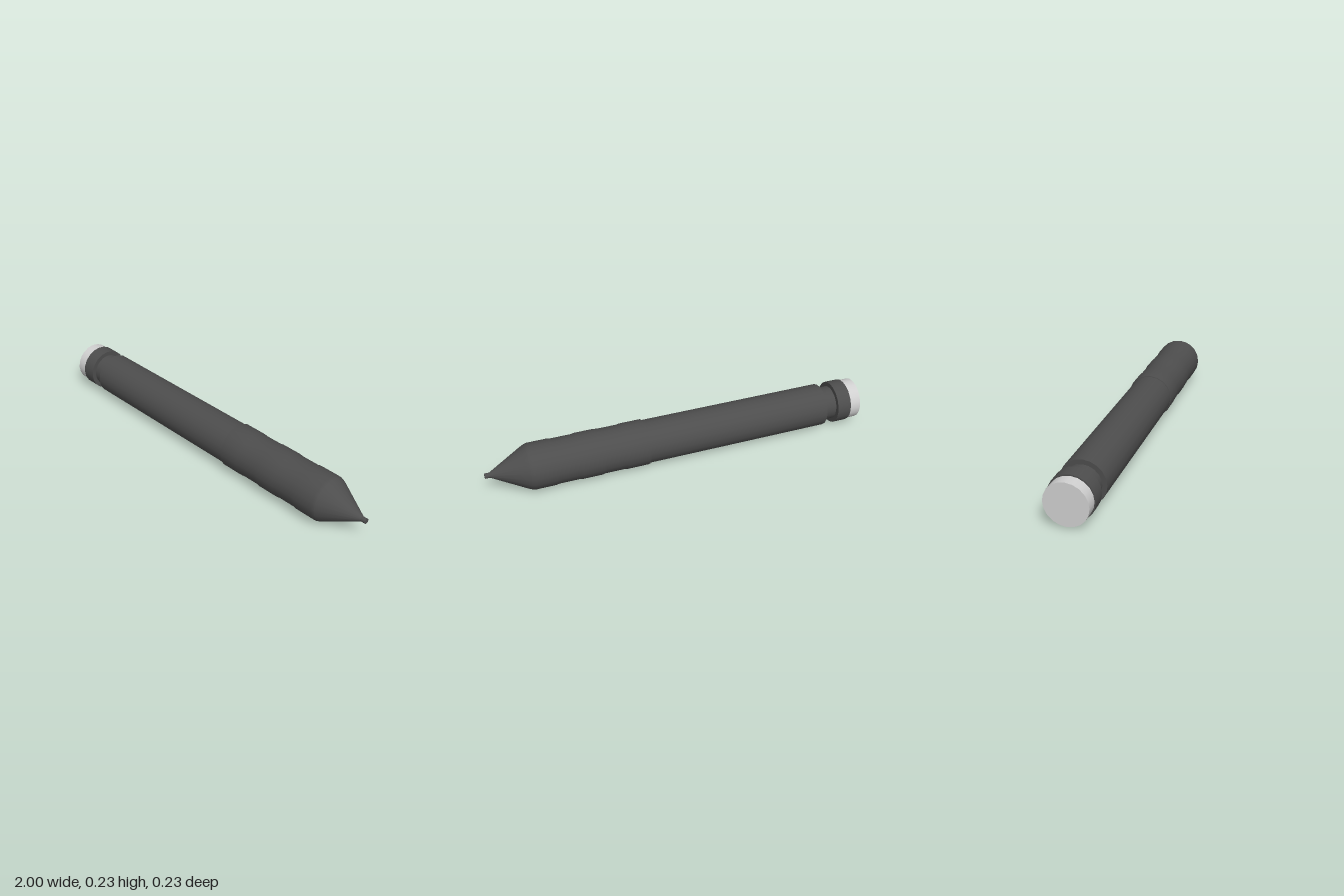
import * as THREE from 'three';

const AXIS_Y = 0.119; // height of the pen's long axis
const SIDES = 20;

export function createModel() {
  const pen = new THREE.Group();
  pen.name = 'pen';

  const darkPlastic = new THREE.MeshStandardMaterial({ color: 0x4d4d4d });
  darkPlastic.name = 'dark grey plastic';
  const palePlastic = new THREE.MeshStandardMaterial({ color: 0xd0d0d0 });
  palePlastic.name = 'pale grey plastic';

  // Straight or tapered section along x, with flat ends
  function section(name, x0, x1, r0, r1, material) {
    const geometry = new THREE.CylinderGeometry(r1, r0, x1 - x0, SIDES);
    geometry.rotateZ(-Math.PI / 2);
    const mesh = new THREE.Mesh(geometry, material);
    mesh.name = name;
    mesh.position.set((x0 + x1) / 2, AXIS_Y, 0);
    pen.add(mesh);
  }

  // Turned section along x from [x, radius] points
  function turned(name, points, material) {
    const profile = points.map(([x, r]) => new THREE.Vector2(r, x));
    const geometry = new THREE.LatheGeometry(profile, SIDES, Math.PI / 2);
    geometry.rotateZ(-Math.PI / 2);
    const mesh = new THREE.Mesh(geometry, material);
    mesh.name = name;
    mesh.position.y = AXIS_Y;
    pen.add(mesh);
  }

  // Push button and neck
  section('buttonCap', -1, -0.94, 0.105, 0.105, palePlastic);
  section('buttonCollar', -0.94, -0.865, 0.111, 0.111, darkPlastic);
  section('neck', -0.865, -0.8, 0.088, 0.088, darkPlastic);

  // Barrel
  section('barrel', -0.8, 0.19, 0.111, 0.111, darkPlastic);

  // Grip with gentle alternating swells, closed by a small rear step
  const grip = [[0.19, 0.11], [0.19, 0.117]];
  for (let i = 1; i < 5; i++) {
    const x = 0.19 + i * 0.118;
    const [before, after] = i % 2 ? [0.117, 0.114] : [0.114, 0.117];
    grip.push([x - 0.008, before], [x + 0.008, after]);
  }
  grip.push([0.775, 0.117], [0.79, 0.112]);
  turned('grip', grip, darkPlastic);

  // Nose cone and writing tip
  turned('noseCone', [[0.79, 0.112], [0.808, 0.104], [0.975, 0.013]], darkPlastic);
  section('writingTip', 0.97, 1, 0.013, 0.013, darkPlastic);

  return pen;
}
